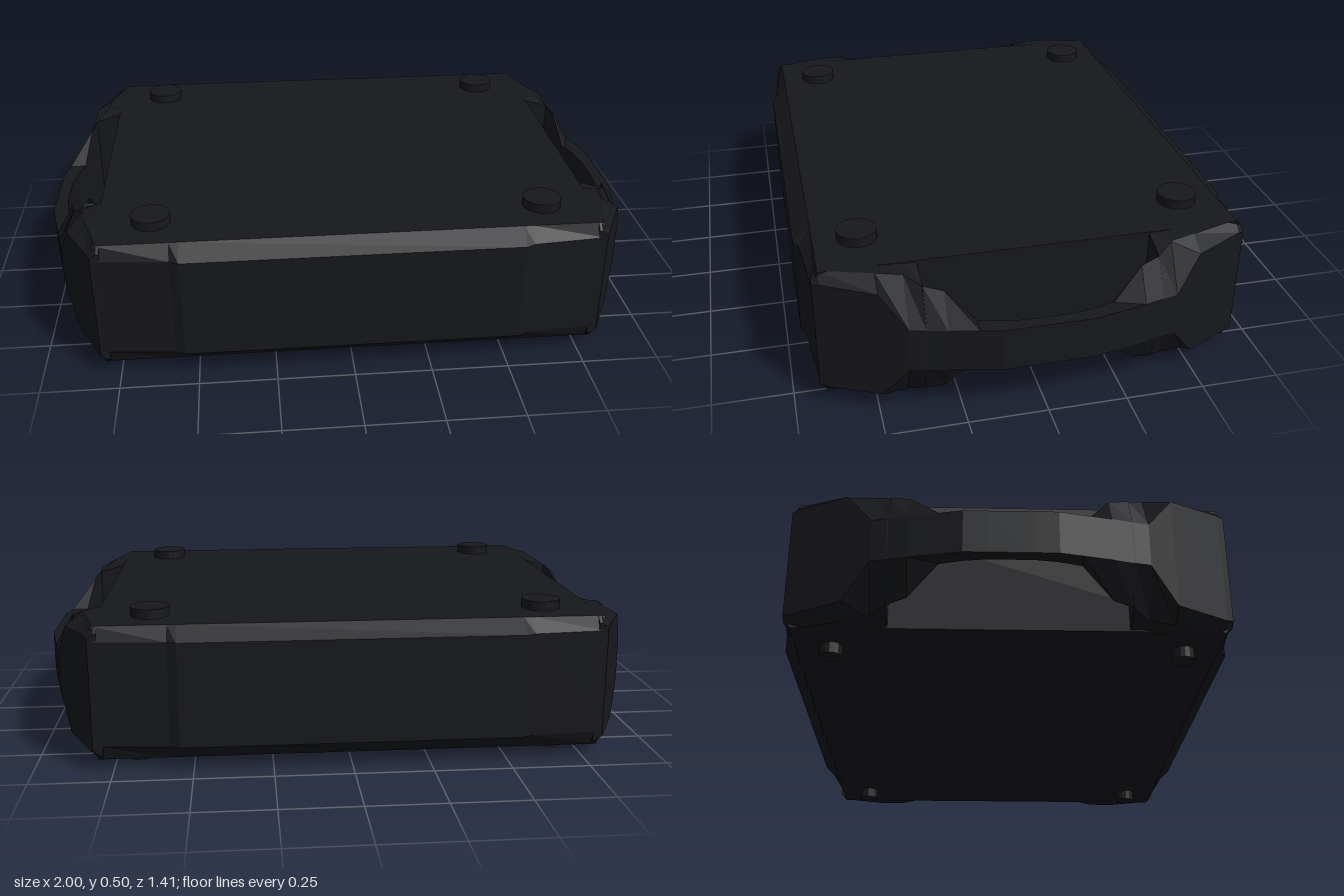
import * as THREE from 'three';

const MID = 0.25; // height of the horizontal symmetry plane

// Skin a list of cross-sections; each loop runs counter-clockwise seen from the first end.
function loft(sections) {
  const pos = [], n = sections[0].length, last = sections.length - 1;
  const tri = (a, b, c) => pos.push(...a, ...b, ...c);
  for (let i = 0; i < last; i++) {
    for (let j = 0; j < n; j++) {
      const k = (j + 1) % n;
      const a = sections[i][j], b = sections[i][k], c = sections[i + 1][k], d = sections[i + 1][j];
      tri(a, d, b);
      tri(b, d, c);
    }
  }
  for (let j = 1; j < n - 1; j++) {
    tri(sections[0][0], sections[0][j], sections[0][j + 1]);
    tri(sections[last][0], sections[last][j + 1], sections[last][j]);
  }
  const g = new THREE.BufferGeometry();
  g.setAttribute('position', new THREE.Float32BufferAttribute(pos, 3));
  g.computeVertexNormals();
  return g;
}

export function createModel() {
  const group = new THREE.Group();
  const dark = new THREE.MeshStandardMaterial({ color: 0x17181c, flatShading: true });
  const add = (name, geometry, x = 0, y = 0, z = 0) => {
    const mesh = new THREE.Mesh(geometry, dark);
    mesh.name = name;
    mesh.position.set(x, y, z);
    group.add(mesh);
  };

  // Main case: chamfered section swept across x, with raised front and back panels
  const bodySections = [[0.8, 0.67], [0.57, 0.69], [0.54, 0.705], [-0.54, 0.705], [-0.57, 0.69], [-0.8, 0.67]]
    .map(([x, z]) => [
      [0.215, -0.65], [0.215, 0.65], [0.17, z], [-0.165, z],
      [-0.215, 0.65], [-0.215, -0.65], [-0.165, -z], [0.17, -z],
    ].map(([h, pz]) => [x, MID + h, pz]));
  add('case', loft(bodySections));

  // Side grips: z, inner x + half height, ridge x + half height, outer x + half height
  const half = [
    [0.67, 0.78, 0.195, 0.79, 0.195, 0.81, 0.18],
    [0.65, 0.78, 0.215, 0.79, 0.215, 0.82, 0.185],
    [0.49, 0.78, 0.215, 0.84, 0.215, 0.9, 0.18],
    [0.41, 0.78, 0.215, 0.855, 0.208, 0.94, 0.07],
    [0.361, 0.78, 0.215, 0.89, 0.185, 0.951, 0.07],
    [0.36, 0.89, 0.185, 0.892, 0.185, 0.951, 0.07],
    [0.3, 0.905, 0.17, 0.907, 0.17, 0.966, 0.07],
    [0.21, 0.93, 0.07, 0.935, 0.07, 0.985, 0.07],
    [0.14, 0.95, 0.07, 0.955, 0.07, 1, 0.07],
    [0.07, 0.96, 0.07, 0.965, 0.07, 1, 0.07],
  ];
  const profile = [...half, ...half.slice().reverse().map(([z, ...rest]) => [-z, ...rest])];
  for (const side of [1, -1]) {
    const sections = profile.map(([z, xi, hi, xm, hm, xo, ho]) => {
      const loop = [[xi, -hi], [xm, -hm], [xo, -ho], [xo, ho], [xm, hm], [xi, hi]]
        .map(([x, h]) => [side * x, MID + h, z]);
      return side > 0 ? loop : loop.reverse();
    });
    add(side > 0 ? 'leftHandle' : 'rightHandle', loft(sections));
  }

  // Stacking studs on top and smaller feet underneath
  const stud = new THREE.CylinderGeometry(0.062, 0.062, 0.05, 20);
  const foot = new THREE.CylinderGeometry(0.036, 0.036, 0.05, 16);
  for (const sx of [1, -1]) {
    for (const sz of [1, -1]) {
      add('topStud', stud, sx * 0.63, 0.47, sz * 0.515);
      add('foot', foot, sx * 0.675, 0.025, sz * 0.54);
    }
  }
  return group;
}
